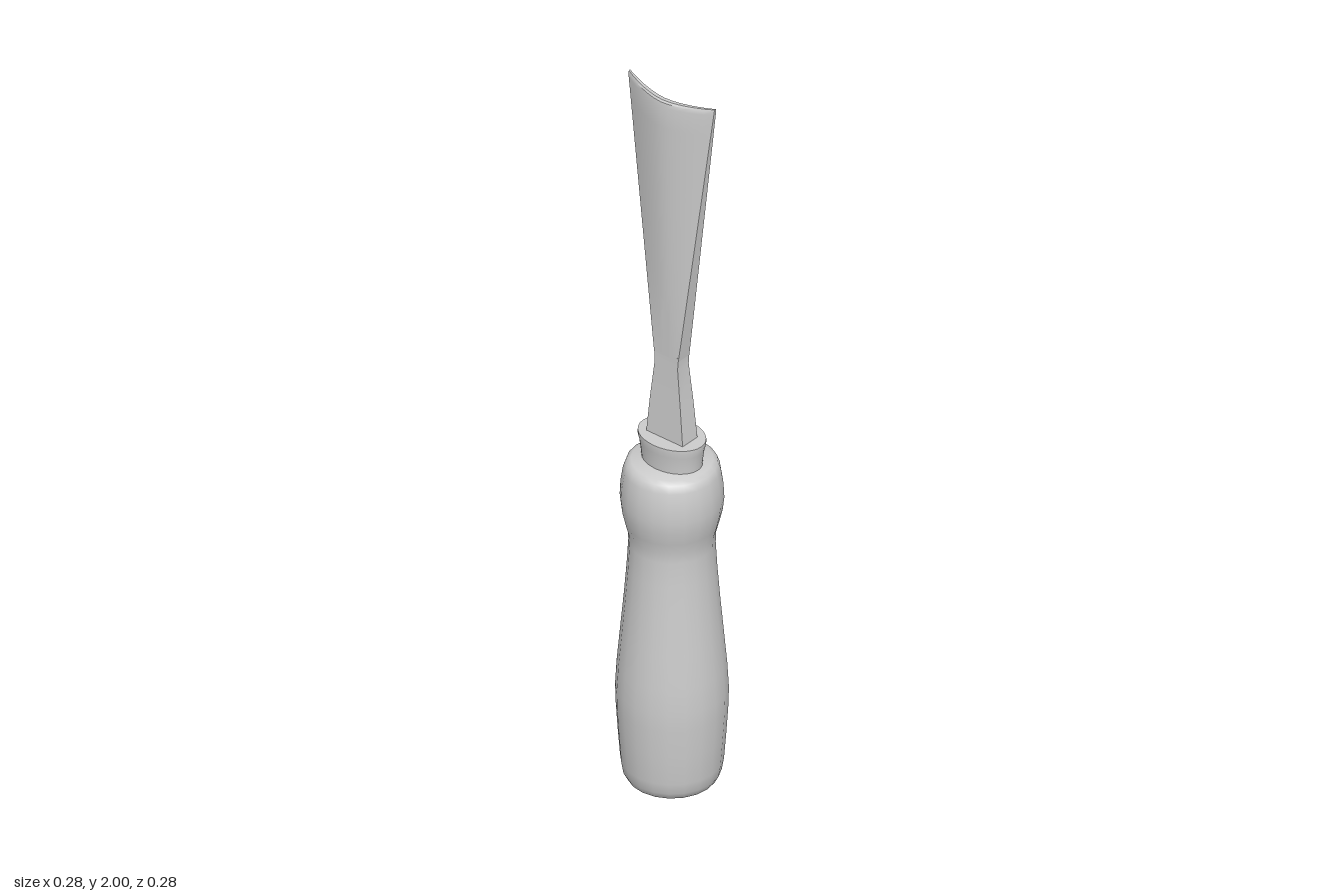
import * as THREE from 'three';
import { toCreasedNormals } from 'three/addons/utils/BufferGeometryUtils.js';

const material = new THREE.MeshStandardMaterial({ color: 0xcccccc });
const N = 13; // points across each face of the blade

// Turned part from [radius, y] pairs, smooth with sharp creases
function turned(name, profile, sides, crease) {
  const geo = new THREE.LatheGeometry(profile.map(([r, y]) => new THREE.Vector2(r, y)), sides);
  const mesh = new THREE.Mesh(toCreasedNormals(geo, crease), material);
  mesh.name = name;
  return mesh;
}

// Loft of closed sections; each has a front and a back arc bowed towards +z
// section: y, half width w, front centre/edge z, back centre/edge z, dip of the centre
function loft(name, sections) {
  const pos = [], idx = [], M = 2 * N;
  for (const s of sections) {
    for (let i = 0; i < M; i++) {
      const front = i < N;
      const u = front ? -1 + 2 * i / (N - 1) : 1 - 2 * (i - N) / (N - 1);
      const bow = 1 - Math.pow(Math.abs(u), 1.7);
      const [centre, edge] = front ? s.front : s.back;
      pos.push(u * s.w, s.y - (s.dip || 0) * bow, edge + (centre - edge) * bow);
    }
  }
  for (let j = 0; j < sections.length - 1; j++) {
    for (let i = 0; i < M; i++) {
      const a = j * M + i, b = j * M + (i + 1) % M;
      idx.push(a, b, b + M, a, b + M, a + M);
    }
  }
  // End caps
  const top = (sections.length - 1) * M;
  for (let k = 0; k < N - 1; k++) {
    const a = k, b = k + 1, c = M - 2 - k, d = M - 1 - k;
    idx.push(top + a, top + b, top + c, top + a, top + c, top + d);
    idx.push(a, c, b, a, d, c);
  }
  const geo = new THREE.BufferGeometry();
  geo.setAttribute('position', new THREE.Float32BufferAttribute(pos, 3));
  geo.setIndex(idx);
  const mesh = new THREE.Mesh(toCreasedNormals(geo, 0.6), material);
  mesh.name = name;
  return mesh;
}

export function createModel() {
  const group = new THREE.Group();
  group.name = 'gouge';

  // Handle: swelling grip, waist and rounded shoulder
  group.add(turned('handle', [
    [0, 0], [0.095, 0.003], [0.111, 0.011], [0.121, 0.03], [0.126, 0.06], [0.132, 0.14],
    [0.137, 0.22], [0.138, 0.27], [0.134, 0.34], [0.126, 0.43], [0.117, 0.53], [0.11, 0.62],
    [0.106, 0.69], [0.107, 0.72], [0.115, 0.75], [0.123, 0.785], [0.127, 0.82],
    [0.125, 0.86], [0.119, 0.9], [0.112, 0.92], [0.1, 0.928], [0, 0.928],
  ], 20, 0.7));

  // Ferrule: oval collar flaring upwards
  const ferrule = turned('ferrule', [
    [0, 0.91], [0.081, 0.91], [0.083, 0.94], [0.088, 0.975], [0.092, 0.99], [0.092, 1], [0, 1],
  ], 32, 0.6);
  ferrule.scale.z = 0.74;
  group.add(ferrule);

  // Tang: rectangular, narrowing to the neck
  group.add(loft('tang', [
    { y: 0.98, w: 0.059, front: [0.029, 0.029], back: [-0.028, -0.028] },
    { y: 1.1, w: 0.048, front: [0.026, 0.026], back: [-0.024, -0.024] },
    { y: 1.21, w: 0.036, front: [0.022, 0.022], back: [-0.02, -0.02] },
    { y: 1.245, w: 0.038, front: [0.022, 0.022], back: [-0.02, -0.02] },
  ]));

  // Blade: flaring and hollowed at the back, thinning towards the corners
  const sections = [];
  const mix = THREE.MathUtils.lerp;
  for (let i = 0; i <= 12; i++) {
    const t = i / 12;
    sections.push({
      y: mix(1.235, 1.985, t), w: mix(0.038, 0.134, t), dip: 0.008 * t,
      front: [mix(0.022, 0.045, t), mix(0.022, 0.003, t)],
      back: [mix(-0.02, 0.024, t), mix(-0.02, -0.005, t)],
    });
  }
  // Eased cutting edge
  sections.push({ y: 1.996, w: 0.135, dip: 0.008, front: [0.043, 0.002], back: [0.025, -0.005] });
  sections.push({ y: 2, w: 0.135, dip: 0.008, front: [0.038, 0.001], back: [0.028, -0.004] });
  group.add(loft('blade', sections));

  return group;
}
